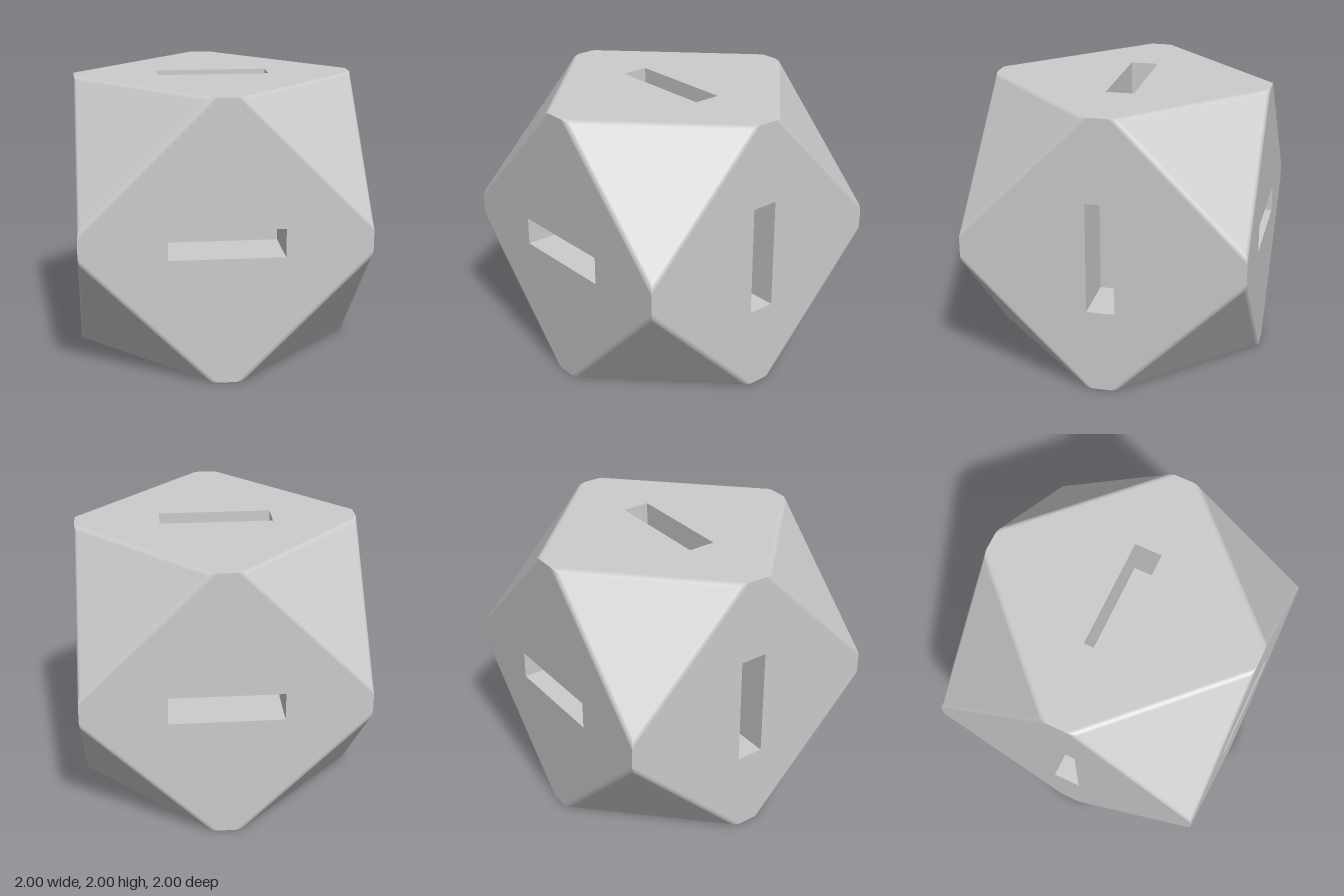
import * as THREE from 'three';

const CUT = 0.1;       // how far the corner cuts stop short of meeting
const R = 0.05;        // fillet radius between square and triangular faces
const SLOT = { length: 0.8, width: 0.2, depth: 0.4 };
const C0 = 1 + CUT + R - Math.sqrt(3) * R; // fillet start line on a square face (y + z = C0)
const STEPS = 6;

// Triangular corner facet with its three mitred fillets, for the (+,+,+) octant
function cornerGeometry() {
  const pos = [], nor = [], idx = [];
  const add = (p, n) => { pos.push(...p); nor.push(...n); return pos.length / 3 - 1; };
  const turn = ([x, y, z], k) => [[x, y, z], [z, x, y], [y, z, x]][k];
  const end = Math.acos(1 / Math.sqrt(3));
  const flat = [];
  for (let k = 0; k < 3; k++) {
    let last;
    for (let i = 0; i <= STEPS; i++) {
      const a = end * i / STEPS;
      const u = 1 - R + R * Math.cos(a);
      const c = C0 + Math.SQRT2 * R * Math.sin(a);
      const s = Math.sin(a) / Math.SQRT2;
      const n = turn([Math.cos(a), s, s], k);
      const p = add(turn([u, u, c - u], k), n);
      const q = add(turn([u, c - u, u], k), n);
      if (last) idx.push(last[0], p, last[1], p, q, last[1]);
      last = [p, q];
    }
    flat.push(last[0]);
  }
  // the flat facet joins the inner ends of the fillets
  const [a, b, c] = flat.map((i) => new THREE.Vector3().fromArray(pos, i * 3));
  const normal = b.clone().sub(a).cross(c.clone().sub(a));
  if (normal.x + normal.y + normal.z > 0) idx.push(flat[0], flat[1], flat[2]);
  else idx.push(flat[0], flat[2], flat[1]);
  // keep every triangle facing outwards
  const v = (i) => new THREE.Vector3().fromArray(pos, i * 3);
  for (let i = 0; i < idx.length; i += 3) {
    const p = v(idx[i]);
    const n = v(idx[i + 1]).sub(p).cross(v(idx[i + 2]).sub(p));
    if (n.x + n.y + n.z < 0) [idx[i + 1], idx[i + 2]] = [idx[i + 2], idx[i + 1]];
  }
  const g = new THREE.BufferGeometry();
  g.setAttribute('position', new THREE.Float32BufferAttribute(pos, 3));
  g.setAttribute('normal', new THREE.Float32BufferAttribute(nor, 3));
  g.setIndex(idx);
  return g;
}

// Square face with its tips cut off and a slot opening, facing +z
function faceGeometry() {
  const a = C0 - 1, l = SLOT.length / 2, w = SLOT.width / 2;
  const points = (list) => list.map(([x, y]) => new THREE.Vector2(x, y));
  const shape = new THREE.Shape(points([
    [1, -a], [1, a], [a, 1], [-a, 1], [-1, a], [-1, -a], [-a, -1], [a, -1],
  ]));
  shape.holes.push(new THREE.Path(points([[-l, -w], [-l, w], [l, w], [l, -w]])));
  return new THREE.ShapeGeometry(shape).translate(0, 0, 1);
}

// Slot walls and floor: a box turned inside out without its outer (+z) side
function slotGeometry() {
  const g = new THREE.BoxGeometry(SLOT.length, SLOT.width, SLOT.depth);
  const index = Array.from(g.index.array).filter((_, i) => i < 24 || i >= 30);
  g.setIndex(index.reverse());
  g.clearGroups();
  const n = g.attributes.normal;
  for (let i = 0; i < n.array.length; i++) n.array[i] *= -1;
  return g.translate(0, 0, 1 - SLOT.depth / 2);
}

export function createModel() {
  const model = new THREE.Group();
  model.name = 'slottedCuboctahedron';
  const body = new THREE.Group();
  body.name = 'body';
  body.position.y = 1;
  model.add(body);
  const material = new THREE.MeshStandardMaterial({ color: 0xcccccc });

  // eight corners
  const corner = cornerGeometry();
  for (let i = 0; i < 8; i++) {
    const mesh = new THREE.Mesh(corner, material);
    mesh.name = i < 4 ? 'upperCorner' : 'lowerCorner';
    mesh.rotation.set(i < 4 ? 0 : Math.PI, (i % 4) * Math.PI / 2, 0);
    body.add(mesh);
  }

  // six slotted faces
  const face = faceGeometry(), slot = slotGeometry(), q = Math.PI / 2;
  const sides = {
    front: [0, 0, 0], back: [0, 2 * q, 0],
    left: [0, q, q], right: [0, -q, q],
    top: [-q, 0, 0], bottom: [q, 0, 0],
  };
  for (const [name, turn] of Object.entries(sides)) {
    const side = new THREE.Group();
    side.name = name + 'Side';
    side.rotation.set(...turn);
    const panel = new THREE.Mesh(face, material);
    panel.name = name + 'Face';
    const recess = new THREE.Mesh(slot, material);
    recess.name = name + 'Slot';
    side.add(panel, recess);
    body.add(side);
  }
  return model;
}
